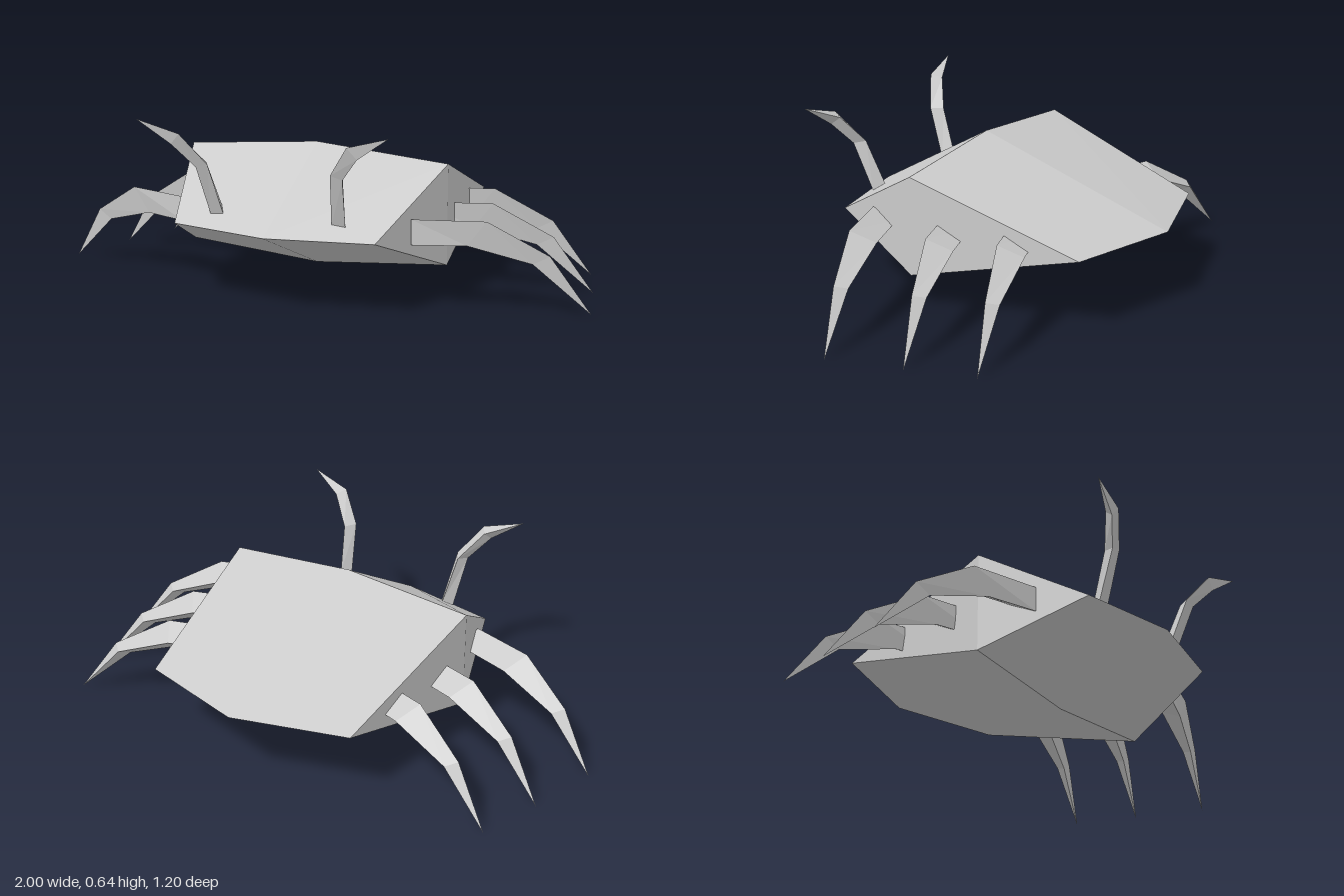
import * as THREE from 'three';
import { ConvexGeometry } from 'three/addons/geometries/ConvexGeometry.js';

const material = new THREE.MeshStandardMaterial({ color: 0xcccccc, flatShading: true });

// Three-sided limb: triangular sections from root to a pointed tip, closed at the root.
function limbGeometry(sections, tip, side) {
  const rings = sections.map((ring) => {
    const points = ring.map(([x, y, z]) => [x * side, y, z]);
    return side < 0 ? points.reverse() : points;
  });
  const end = [tip[0] * side, tip[1], tip[2]];
  const positions = [];
  const face = (...corners) => corners.forEach((c) => positions.push(...c));

  face(rings[0][0], rings[0][2], rings[0][1]);
  rings.forEach((a, r) => {
    const b = rings[r + 1];
    for (let i = 0; i < 3; i++) {
      const j = (i + 1) % 3;
      if (b) {
        face(a[i], a[j], b[j]);
        face(a[i], b[j], b[i]);
      } else {
        face(a[i], a[j], end);
      }
    }
  });
  const geometry = new THREE.BufferGeometry();
  geometry.setAttribute('position', new THREE.Float32BufferAttribute(positions, 3));
  geometry.computeVertexNormals();
  return geometry;
}

// Faceted shell: a centre diamond and a slightly smaller diamond on each side.
function bodyGeometry() {
  const points = [[0, 0.515, 0.135], [0, 0.08, 0.135], [0, 0.265, 0.575], [0, 0.265, -0.598]];
  for (const s of [-1, 1]) {
    points.push(
      [0.488 * s, 0.474, 0.135], [0.488 * s, 0.12, 0.135],
      [0.37 * s, 0.265, 0.5], [0.41 * s, 0.265, -0.48]
    );
  }
  return new ConvexGeometry(points.map((p) => new THREE.Vector3(...p)));
}

// Leg sections: front top edge, front bottom edge, rear ridge.
const LEG = [
  [[0.43, 0.318, 0.33], [0.43, 0.23, 0.33], [0.405, 0.273, 0.25]],
  [[0.67, 0.317, 0.256], [0.605, 0.23, 0.266], [0.62, 0.272, 0.18]],
  [[0.866, 0.2, 0.178], [0.81, 0.17, 0.19], [0.83, 0.187, 0.145]],
];
const LEG_TIP = [0.998, 0, 0.125];

// Feeler sections: inner front edge, outer front edge, rear ridge.
const FEELER = [
  [[0.2, 0.303, 0.463], [0.25, 0.303, 0.463], [0.225, 0.327, 0.426]],
  [[0.224, 0.487, 0.53], [0.268, 0.475, 0.53], [0.25, 0.485, 0.487]],
  [[0.303, 0.594, 0.58], [0.337, 0.556, 0.574], [0.325, 0.582, 0.542]],
];
const FEELER_TIP = [0.455, 0.637, 0.598];

export function createModel() {
  const model = new THREE.Group();
  model.name = 'crab';
  const add = (name, geometry, parent = model) => {
    const mesh = new THREE.Mesh(geometry, material);
    mesh.name = name;
    parent.add(mesh);
    return mesh;
  };

  add('body', bodyGeometry());

  // Each pair of legs is shifted inwards and back from the one before.
  const legs = [['front', 0, 0], ['middle', -0.066, -0.263], ['rear', -0.137, -0.496]];
  for (const [sideName, side] of [['left', 1], ['right', -1]]) {
    for (const [place, dx, dz] of legs) {
      const leg = add(`${sideName} ${place} leg`, limbGeometry(LEG, LEG_TIP, side));
      leg.position.set(dx * side, 0, dz);
    }
    add(`${sideName} feeler`, limbGeometry(FEELER, FEELER_TIP, side));
  }
  return model;
}
